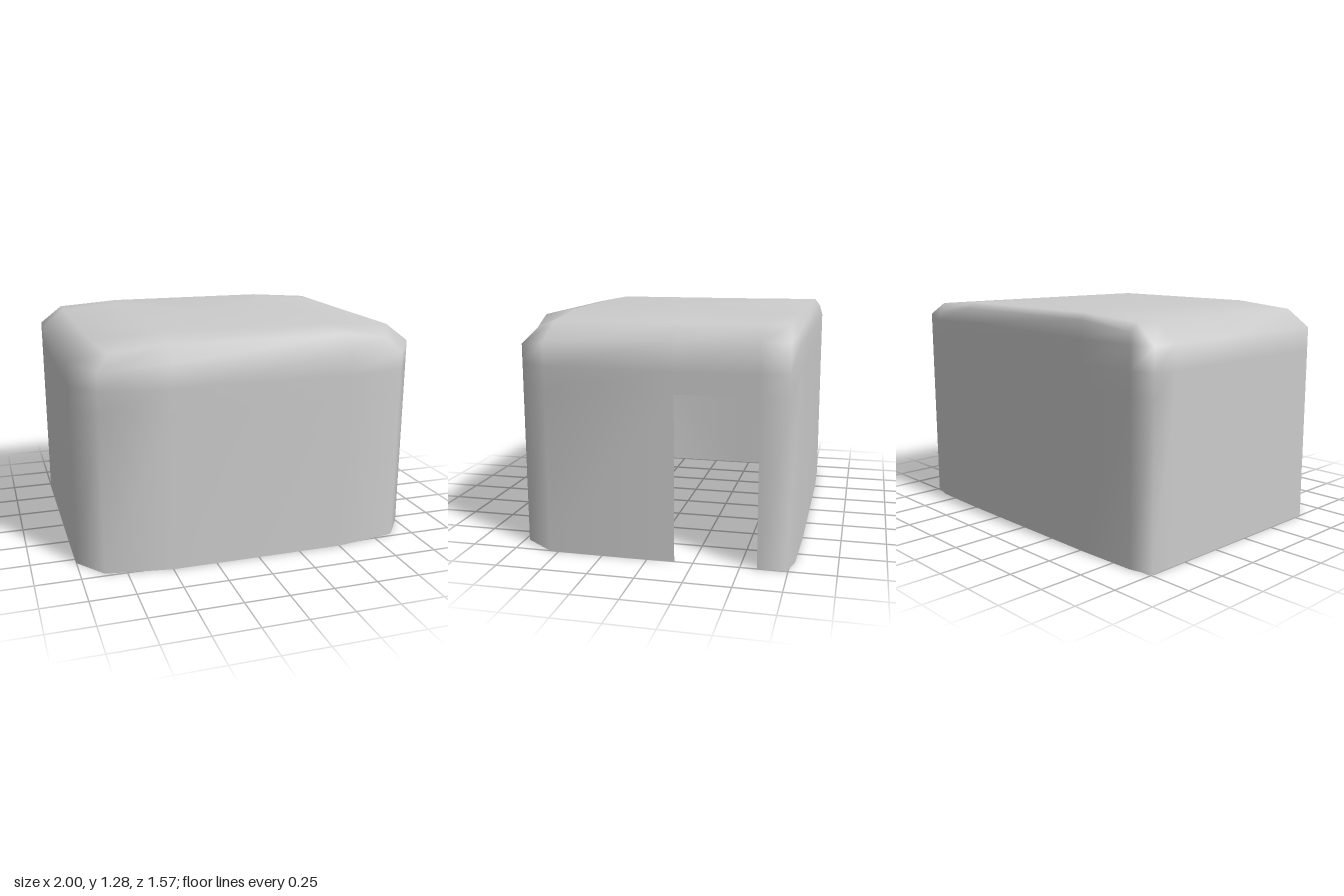
import * as THREE from 'three';
import { mergeVertices } from 'three/addons/utils/BufferGeometryUtils.js';

// One upright strip of the shell: wall foot (x, z), wall top height,
// bevel point on the roof edge, and the point on the flat roof.
const strip = (x, z, top, bevel, roof) => ({ x, z, top, bevel, roof });
const mirror = (s) => strip(-s.x, s.z, Math.min(s.top, 1.15),
  [-s.bevel[0], s.bevel[1], s.bevel[2]], [-s.roof[0], s.roof[1]]);

// Strips of the +x half, from the front around to the back
const half = [
  strip(0.5, 0.785, 1.15, [0.5, 1.245, 0.73], [0.5, 0.55]),
  strip(0.87, 0.725, 1.12, [0.8, 1.2, 0.66], [0.5, 0.55]),
  strip(1, 0.55, 1.15, [0.87, 1.25, 0.53], [0.5, 0.55]),
  strip(1, -0.15, 1.17, [0.87, 1.253, -0.15], [0.5, -0.15]),
  strip(1, -0.59, 1.175, [0.87, 1.255, -0.59], [0.5, -0.59]),
  strip(1, -0.74, 1.18, [0.87, 1.255, -0.725], [0.5, -0.735]),
  strip(0.87, -0.775, 1.15, [0.85, 1.21, -0.76], [0.5, -0.735]),
  strip(0.52, -0.785, 1.16, [0.52, 1.245, -0.775], [0.5, -0.735]),
];
const DOOR_STRIP = 3, DOOR_TOP = 0.9, ROOF = 1.28;

function shellGeometry() {
  const ring = [...half, ...half.map(mirror).reverse()];
  const n = ring.length;
  // Rows from the ground up to the flat of the roof
  const rows = [
    ring.map((s) => [s.x, 0, s.z]),
    ring.map((s) => [s.x, DOOR_TOP, s.z]),
    ring.map((s) => [s.x, 1.02, s.z]),
    ring.map((s) => [s.x, s.top, s.z]),
    ring.map((s) => s.bevel),
    ring.map((s) => [s.roof[0], ROOF, s.roof[1]]),
  ];
  const position = rows.flat(2);
  const index = [];
  for (let r = 0; r < rows.length - 1; r++) {
    for (let i = 0; i < n; i++) {
      if (r === 0 && i === DOOR_STRIP) continue; // doorway
      const j = (i + 1) % n;
      const a = r * n + i, b = r * n + j, c = a + n, d = b + n;
      index.push(a, b, d, a, d, c);
    }
  }
  // Flat roof
  const centre = position.length / 3, last = (rows.length - 1) * n;
  position.push(0, ROOF, -0.09);
  for (let i = 0; i < n; i++) index.push(centre, last + i, last + (i + 1) % n);

  const geometry = new THREE.BufferGeometry();
  geometry.setAttribute('position', new THREE.Float32BufferAttribute(position, 3));
  geometry.setIndex(index);
  const merged = mergeVertices(geometry);
  merged.computeVertexNormals();
  return merged;
}

export function createModel() {
  const model = new THREE.Group();
  model.name = 'shelter';
  // Thin shell, open underneath, with a doorway on the +x side
  const shell = new THREE.Mesh(shellGeometry(),
    new THREE.MeshStandardMaterial({ color: 0xcccccc, side: THREE.DoubleSide }));
  shell.name = 'shellWithDoorway';
  model.add(shell);
  return model;
}
